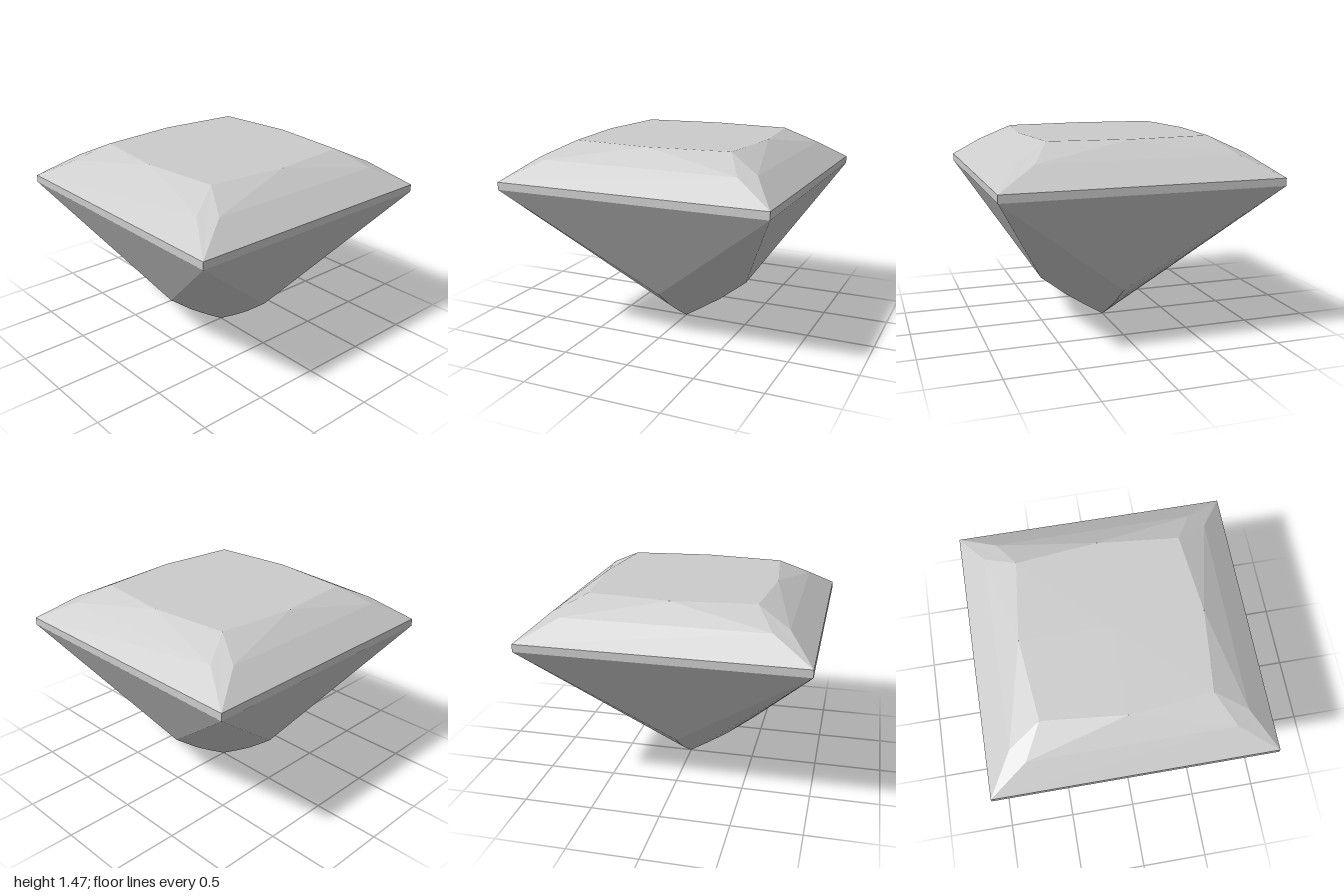
import * as THREE from 'three';

const TOP = 1.465, MID = 1.35, GIRDLE_TOP = 1.2, GIRDLE_LOW = 1.145;

// Flat-shaded mesh from the facets of one side, repeated around the y axis.
// Each facet is a convex polygon, counter-clockwise seen from outside.
function facetRing(name, facets) {
  const positions = [];
  const turn = ([x, y, z], k) => {
    for (let i = 0; i < k; i++) [x, z] = [z, -x];
    return [x, y, z];
  };
  for (let side = 0; side < 4; side++) {
    for (const f of facets) {
      for (let i = 1; i < f.length - 1; i++) {
        for (const p of [f[0], f[i], f[i + 1]]) positions.push(...turn(p, side));
      }
    }
  }
  const geometry = new THREE.BufferGeometry();
  geometry.setAttribute('position', new THREE.Float32BufferAttribute(positions, 3));
  geometry.computeVertexNormals();
  const mesh = new THREE.Mesh(
    geometry,
    new THREE.MeshStandardMaterial({ color: 0xcccccc, flatShading: true })
  );
  mesh.name = name;
  return mesh;
}

export function createModel() {
  const gem = new THREE.Group();
  gem.name = 'squareCutGem';

  // Corners of the front side
  const tableL = [-0.59, TOP, 0.59], tableR = [0.59, TOP, 0.59], tableMid = [0, TOP, 0.65];
  const starL = [-0.72, MID, 0.82], starR = [0.72, MID, 0.82], starSide = [0.82, MID, 0.72];
  const rimL = [-1, GIRDLE_TOP, 1], rimR = [1, GIRDLE_TOP, 1];
  const lowL = [-1, GIRDLE_LOW, 1], lowR = [1, GIRDLE_LOW, 1];

  // Flat octagonal top
  gem.add(facetRing('table', [[[0, TOP, 0], tableL, tableMid, tableR]]));

  // Sloping upper facets, with a kite at every corner
  gem.add(facetRing('crown', [
    [rimL, rimR, starR, starL],
    [starL, starR, tableMid],
    [starR, tableR, tableMid],
    [starL, tableMid, tableL],
    [rimR, starSide, tableR, starR],
  ]));

  // Thin vertical band
  gem.add(facetRing('girdle', [[lowL, lowR, rimR, rimL]]));

  // Large lower triangle, then chevron facets fanning from the corners to the keel
  const keel = [[0, 0.345, 0.5], [0, 0.19, 0.3], [0, 0.085, 0.14], [0, 0, 0]];
  const pavilion = [[lowL, keel[0], lowR]];
  for (let i = 0; i < keel.length - 1; i++) {
    pavilion.push([lowR, keel[i], keel[i + 1]], [lowL, keel[i + 1], keel[i]]);
  }
  gem.add(facetRing('pavilion', pavilion));

  return gem;
}
